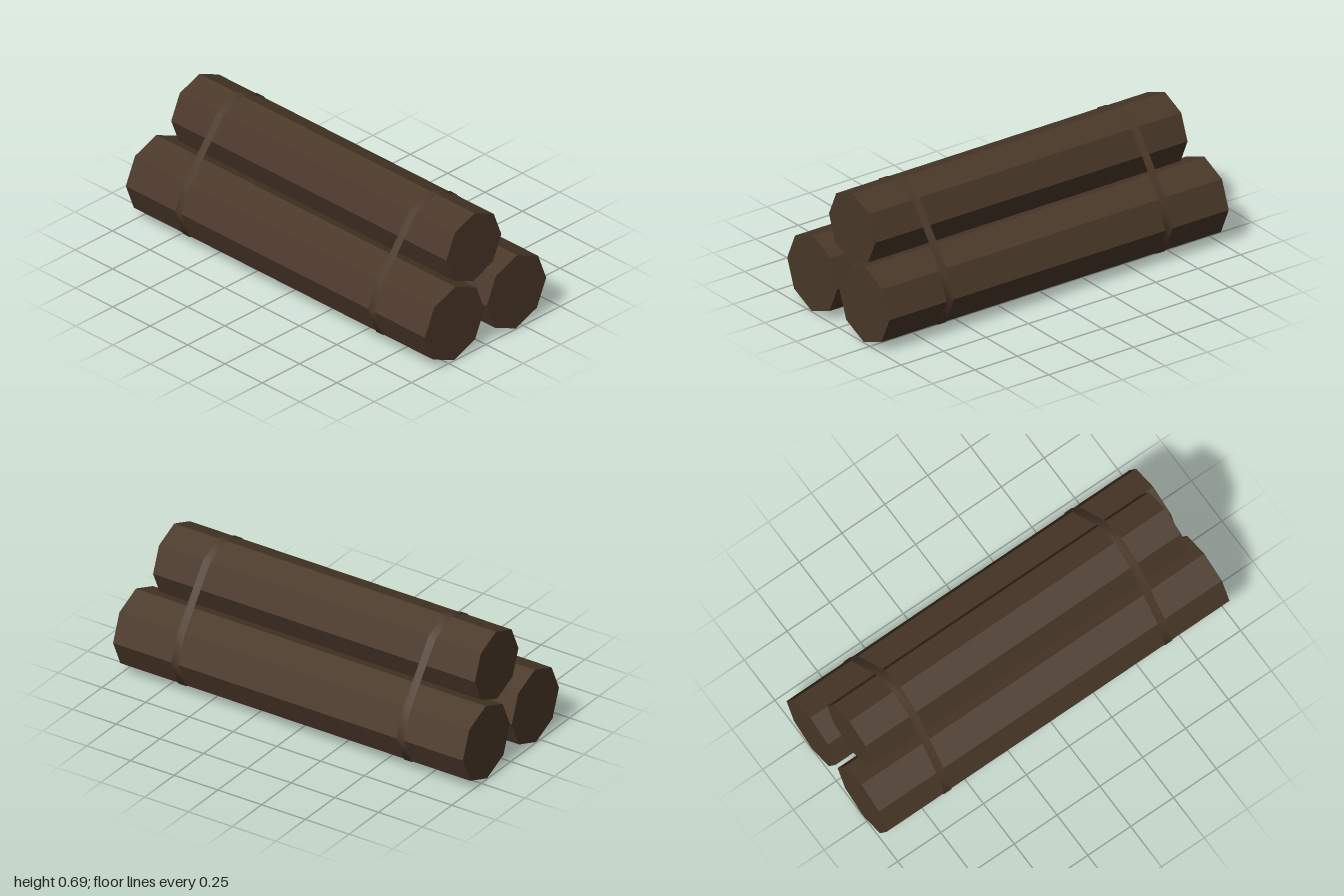
import * as THREE from 'three';

const TILT = -0.027; // slight roll of every log about its length

// corner i of an eight-sided log's cross-section, optionally pushed outwards
function corner(log, i, extra = 0) {
  const a = (i * Math.PI) / 4 + TILT;
  const r = log.r + extra;
  return new THREE.Vector2(log.x + r * Math.cos(a), log.y + r * Math.sin(a));
}

// straight eight-sided log lying along z
function logMesh(log, material) {
  const shape = new THREE.Shape([0, 1, 2, 3, 4, 5, 6, 7].map((i) => corner(log, i)));
  const geometry = new THREE.ExtrudeGeometry(shape, { depth: log.length, bevelEnabled: false });
  geometry.translate(0, 0, -log.length / 2);
  const mesh = new THREE.Mesh(geometry, material);
  mesh.name = log.name;
  return mesh;
}

// thin closed ribbon with smooth normals, wrapped round a loop of points
function strapMesh(points, width, material) {
  const n = points.length;
  const positions = [];
  const index = [];
  points.forEach((p, i) => {
    positions.push(p.x, p.y, width / 2, p.x, p.y, -width / 2);
    const a = 2 * i;
    const b = 2 * ((i + 1) % n);
    index.push(a, a + 1, b, b, a + 1, b + 1);
  });
  const geometry = new THREE.BufferGeometry();
  geometry.setAttribute('position', new THREE.Float32BufferAttribute(positions, 3));
  // winding runs anticlockwise seen from +z, so flip to face outwards
  geometry.setIndex(index.reverse());
  geometry.computeVertexNormals();
  return new THREE.Mesh(geometry, material);
}

export function createModel() {
  const bark = new THREE.MeshStandardMaterial({ color: 0x4a3829, side: THREE.DoubleSide });
  bark.name = 'dark brown wood';

  const left = { name: 'leftLog', x: 0.206, y: 0.205, r: 0.2, length: 2 };
  const right = { name: 'rightLog', x: -0.21, y: 0.205, r: 0.2, length: 2 };
  const top = { name: 'topLog', x: 0, y: 0.503, r: 0.185, length: 1.84 };

  const group = new THREE.Group();
  group.name = 'logBundle';
  for (const log of [left, right, top]) group.add(logMesh(log, bark));

  // straps pulled tight round the outside of the three logs
  const loop = [
    ...[6, 7, 0, 1].map((i) => corner(left, i, 0.004)),
    ...[1, 2, 3].map((i) => corner(top, i, 0.004)),
    ...[3, 4, 5, 6].map((i) => corner(right, i, 0.004)),
  ];
  for (const [name, z] of [['frontStrap', 0.645], ['backStrap', -0.645]]) {
    const strap = strapMesh(loop, 0.042, bark);
    strap.name = name;
    strap.position.z = z;
    group.add(strap);
  }
  return group;
}
